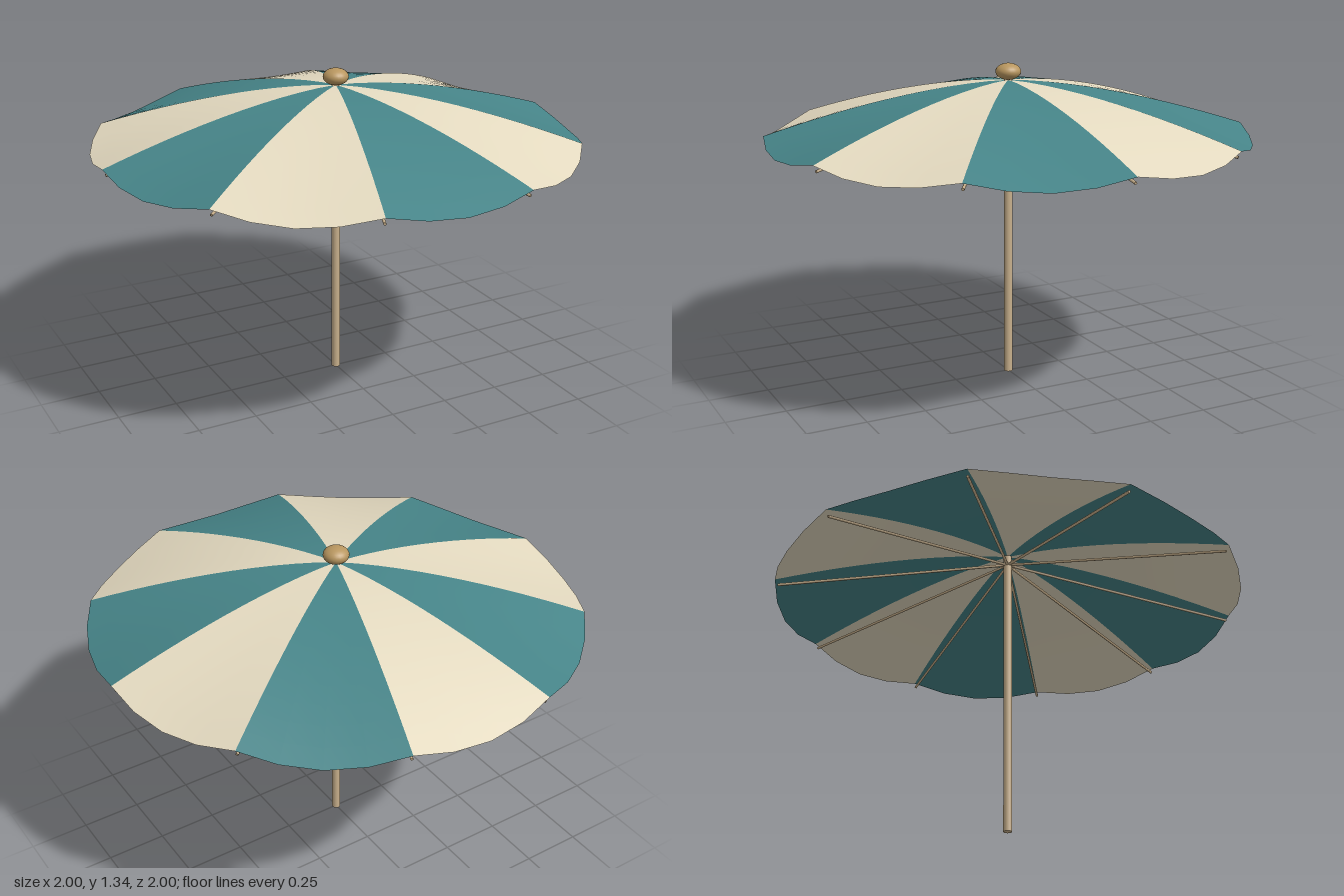
import * as THREE from 'three';

const PANELS = 10, STEP = (Math.PI * 2) / PANELS;
const RADIAL = 12, AROUND = 4;
const TOP = 1.27, DROP = 0.205, SAG = 0.036;

const mat = (color, side = THREE.FrontSide) => new THREE.MeshStandardMaterial({ color, side });

// One fabric gore: domed along the radius, sagging between its two ribs
function panelGeometry(start) {
  const pos = [], index = [];
  for (let i = 0; i <= RADIAL; i++) {
    const r = i / RADIAL;
    for (let j = 0; j <= AROUND; j++) {
      const t = j / AROUND, a = start + t * STEP;
      const y = TOP - DROP * r ** 1.6 - SAG * Math.sin(Math.PI * t) * r * r;
      pos.push(r * Math.cos(a), y, r * Math.sin(a));
    }
  }
  const row = AROUND + 1;
  for (let i = 0; i < RADIAL; i++) {
    for (let j = 0; j < AROUND; j++) {
      const p = i * row + j, q = p + row;
      if (i > 0) index.push(p, p + 1, q);
      index.push(p + 1, q + 1, q);
    }
  }
  const g = new THREE.BufferGeometry();
  g.setAttribute('position', new THREE.Float32BufferAttribute(pos, 3));
  g.setIndex(index);
  g.computeVertexNormals();
  return g;
}

// Thin round rod between two points
function rod(from, to, radius, material) {
  const dir = to.clone().sub(from);
  const m = new THREE.Mesh(new THREE.CylinderGeometry(radius, radius, dir.length(), 6), material);
  m.position.copy(from).addScaledVector(dir, 0.5);
  m.quaternion.setFromUnitVectors(new THREE.Vector3(0, 1, 0), dir.normalize());
  return m;
}

export function createModel() {
  const model = new THREE.Group();
  model.name = 'parasol';
  const teal = mat(0x468488, THREE.DoubleSide);
  const cream = mat(0xe4dac0, THREE.DoubleSide);
  const wood = mat(0xc8b08c);

  // Pole
  const pole = new THREE.Mesh(new THREE.CylinderGeometry(0.018, 0.018, TOP, 16), wood);
  pole.name = 'pole';
  pole.position.y = TOP / 2;
  model.add(pole);

  // Flattened ball on top
  const finial = new THREE.Mesh(new THREE.SphereGeometry(0.053, 24, 16), mat(0xb8965f));
  finial.name = 'finial';
  finial.scale.y = 0.65;
  finial.position.y = 1.305;
  model.add(finial);

  // Canopy panels in alternating colours, and a straight rib under each seam
  const canopy = new THREE.Group(), ribs = new THREE.Group();
  canopy.name = 'canopy';
  ribs.name = 'ribs';
  for (let k = 0; k < PANELS; k++) {
    const a = k * STEP;
    const panel = new THREE.Mesh(panelGeometry(a), k % 2 ? cream : teal);
    panel.name = 'canopyPanel';
    canopy.add(panel);

    const at = (r, y) => new THREE.Vector3(r * Math.cos(a), y, r * Math.sin(a));
    const rib = rod(at(0.01, 1.228), at(0.987, 1.04), 0.006, wood);
    rib.name = 'rib';
    ribs.add(rib);
  }
  model.add(canopy, ribs);
  return model;
}
